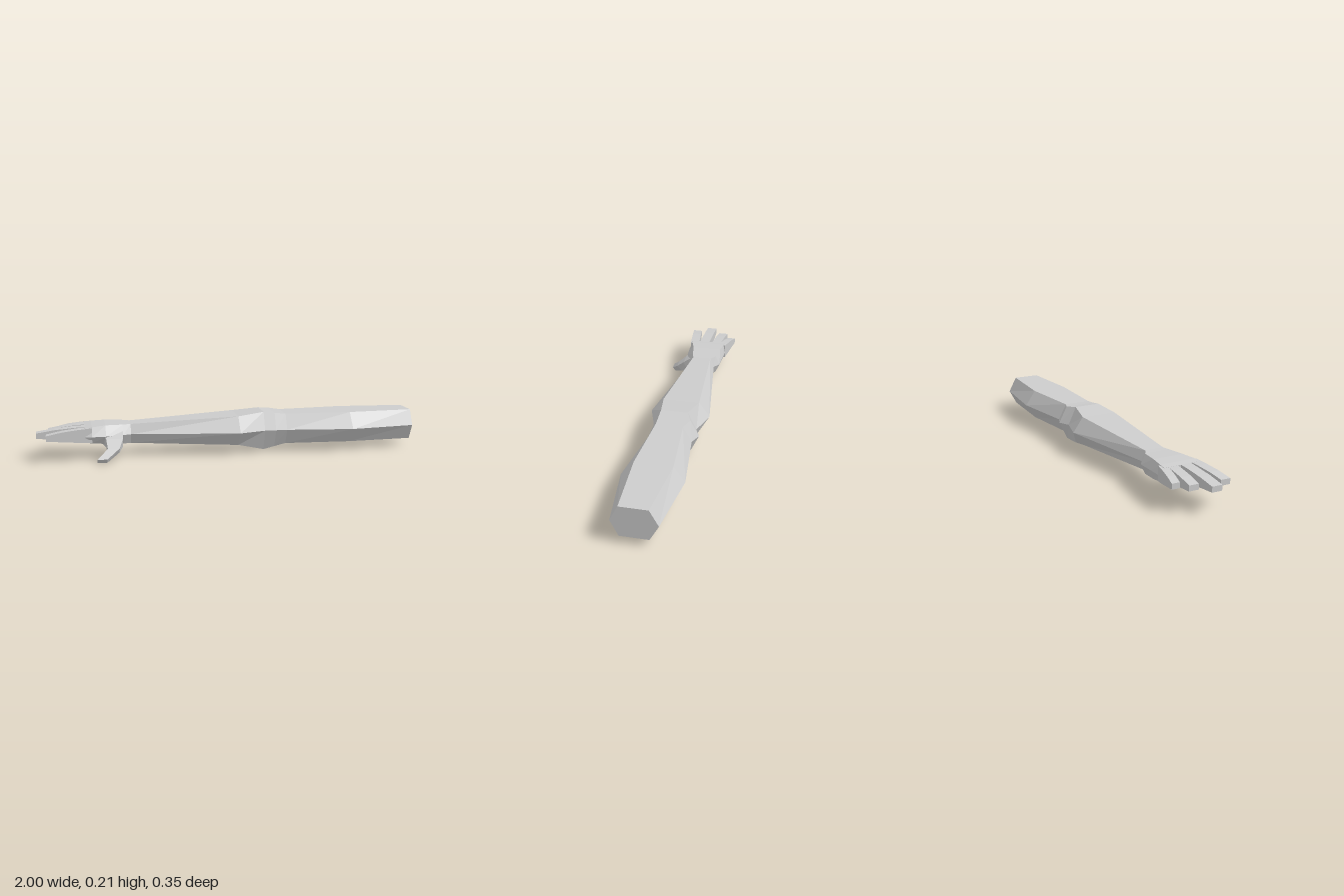
import * as THREE from 'three';

const skin = new THREE.MeshStandardMaterial({ color: 0xcccccc, flatShading: true });
skin.name = 'plain grey';

// Skin a list of equal-length point rings, cap both ends, and face it outwards.
function loft(name, rings) {
  const tris = [];
  const n = rings[0].length;
  for (let r = 0; r < rings.length - 1; r++) {
    const a = rings[r], b = rings[r + 1];
    for (let i = 0; i < n; i++) {
      const j = (i + 1) % n;
      tris.push([a[i], a[j], b[j]], [a[i], b[j], b[i]]);
    }
  }
  const first = rings[0], last = rings[rings.length - 1];
  for (let i = 1; i < n - 1; i++) {
    tris.push([first[0], first[i + 1], first[i]], [last[0], last[i], last[i + 1]]);
  }
  // Signed volume about the first corner decides the winding
  const o = new THREE.Vector3(...first[0]);
  let volume = 0;
  for (const t of tris) {
    const [p, q, s] = t.map(v => new THREE.Vector3(...v).sub(o));
    volume += p.dot(q.cross(s));
  }
  if (volume < 0) tris.forEach(t => t.reverse());
  const geo = new THREE.BufferGeometry();
  geo.setAttribute('position', new THREE.Float32BufferAttribute(tris.flat(2), 3));
  geo.computeVertexNormals();
  const mesh = new THREE.Mesh(geo, skin);
  mesh.name = name;
  return mesh;
}

// Six-sided slice: back edge, back flat, front flat, front edge, bottom, top, middle height
const hex = ([x, zb, zbf, zff, zf, y0, y1, ym = 0.12]) => [
  [x, ym, zb], [x, y1, zbf], [x, y1, zff], [x, ym, zf], [x, y0, zff], [x, y0, zbf],
];

export function createModel() {
  const arm = new THREE.Group();
  arm.name = 'arm';

  // Upper arm, elbow, forearm and wrist
  arm.add(loft('armAndElbow', [
    [1.00, -0.134, -0.09, 0.05, 0.09, 0.04, 0.20],
    [0.65, -0.176, -0.12, 0.07, 0.135, 0.04, 0.20],
    [0.30, -0.134, -0.09, 0.05, 0.09, 0.04, 0.20],
    [0.24, -0.16, -0.115, 0.05, 0.09, 0.026, 0.206],
    [0.18, -0.134, -0.09, 0.05, 0.09, 0.012, 0.214],
    [0.04, -0.176, -0.12, 0.07, 0.135, 0.045, 0.198],
    [-0.52, -0.096, -0.075, 0.025, 0.047, 0.07, 0.17],
  ].map(hex)));

  // Palm, flaring out from the wrist to the knuckles
  arm.add(loft('palm', [
    [-0.52, -0.096, -0.075, 0.025, 0.047, 0.07, 0.17],
    [-0.56, -0.123, -0.10, 0.035, 0.06, 0.07, 0.17],
    [-0.65, -0.125, -0.11, 0.05, 0.085, 0.075, 0.172],
    [-0.72, -0.128, -0.118, 0.07, 0.088, 0.085, 0.168],
    [-0.755, -0.128, -0.118, 0.075, 0.085, 0.09, 0.163],
  ].map(hex)));

  // Fingers: tip x, base z, tip z; three joints each, thinning to the tip
  const heights = [[0.09, 0.165], [0.095, 0.16], [0.103, 0.152], [0.11, 0.138]];
  const fingers = {
    littleFinger: [-0.885, -0.107, -0.14, 0.021],
    ringFinger: [-0.94, -0.068, -0.081, 0.026],
    middleFinger: [-1.0, 0.0, 0.0, 0.027],
    indexFinger: [-0.95, 0.055, 0.082, 0.025],
  };
  for (const [name, [tip, z0, z1, w]] of Object.entries(fingers)) {
    arm.add(loft(name, heights.map(([y0, y1], i) => {
      const t = i / 3;
      const x = THREE.MathUtils.lerp(-0.72, tip, t);
      const z = THREE.MathUtils.lerp(z0, z1, t);
      return [[x, y0, z - w], [x, y1, z - w], [x, y1, z + w], [x, y0, z + w]];
    })));
  }

  // Thumb: slices from x0 to x1 between an upper and a lower edge (y, z)
  const thumb = [
    [-0.67, -0.56, 0.14, 0.05, 0.075, 0.02],
    [-0.65, -0.565, 0.108, 0.092, 0.06, 0.068],
    [-0.645, -0.585, 0.068, 0.135, 0.04, 0.107],
    [-0.70, -0.65, 0.022, 0.176, 0.002, 0.16],
  ];
  arm.add(loft('thumb', thumb.map(([x0, x1, yu, zu, yl, zl]) => [
    [x0, yu, zu], [x1, yu, zu], [x1, yl, zl], [x0, yl, zl],
  ])));

  return arm;
}
